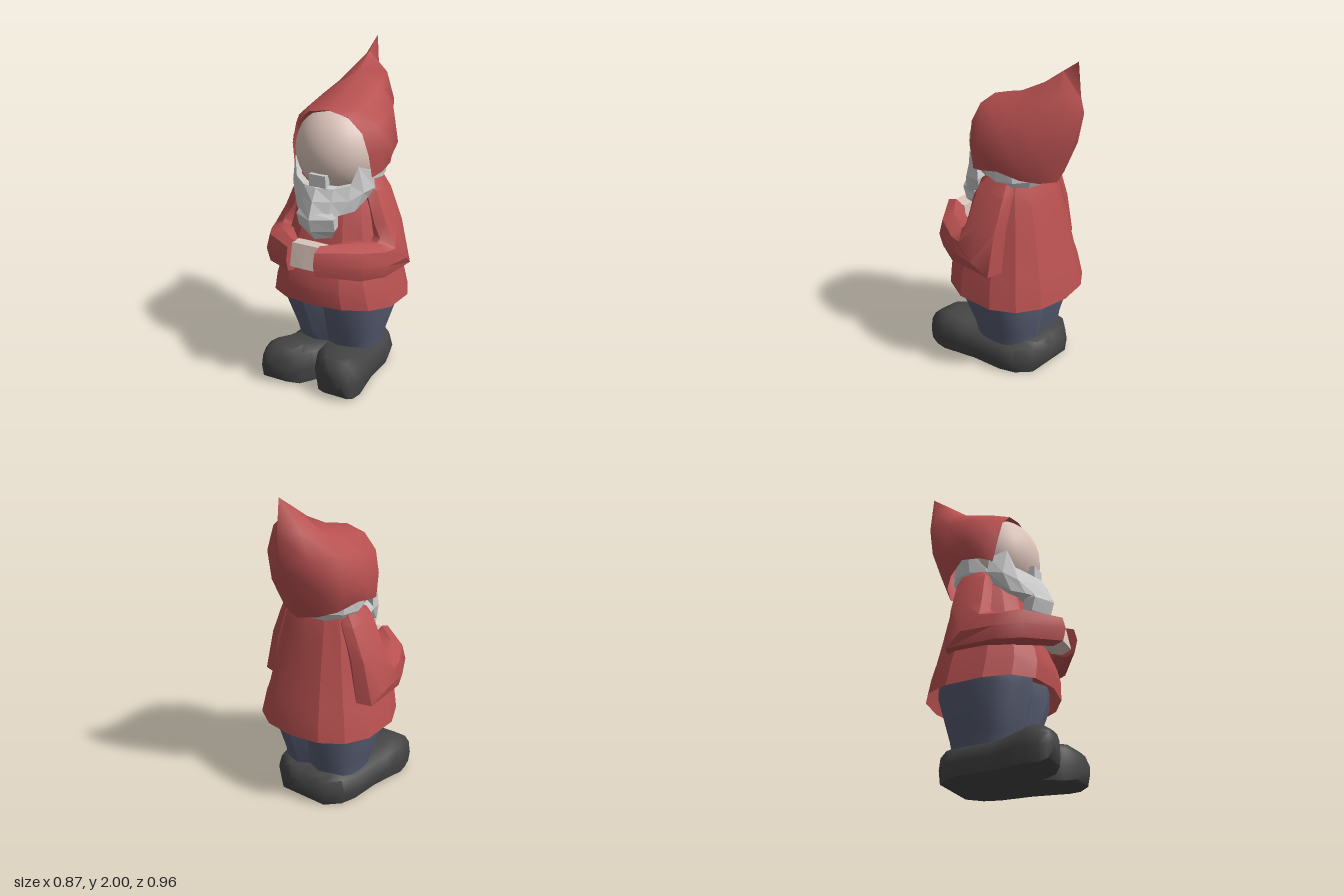
import * as THREE from 'three';
import { toCreasedNormals } from 'three/addons/utils/BufferGeometryUtils.js';

const RED = 0xb85050, SKIN = 0xdcc5bb, GREY = 0xcccccc, BLUE = 0x555b70, BLACK = 0x444444;

// Skin a list of equal-length cross-sections; faces are turned outward automatically
function loft(rows, { closed = true, caps = false } = {}) {
  const n = rows[0].length, pos = rows.flat(2), idx = [];
  const cols = closed ? n : n - 1;
  for (let i = 0; i < rows.length - 1; i++) {
    for (let j = 0; j < cols; j++) {
      const a = i * n + j, b = i * n + (j + 1) % n;
      idx.push(a, b, b + n, a, b + n, a + n);
    }
  }
  if (caps) {
    const last = (rows.length - 1) * n;
    for (let j = 1; j < n - 1; j++) idx.push(0, j + 1, j, last, last + j, last + j + 1);
  }
  const point = (k) => new THREE.Vector3().fromArray(pos, k * 3);
  const centre = new THREE.Vector3();
  for (let k = 0; k < pos.length / 3; k++) centre.addScaledVector(point(k), 3 / pos.length);
  let volume = 0;
  for (let k = 0; k < idx.length; k += 3) {
    const [a, b, c] = [0, 1, 2].map((m) => point(idx[k + m]).sub(centre));
    volume += a.dot(b.cross(c));
  }
  if (volume < 0) idx.reverse();
  const geo = new THREE.BufferGeometry();
  geo.setAttribute('position', new THREE.Float32BufferAttribute(pos, 3));
  geo.setIndex(idx);
  return geo;
}

// Complete a half row (centre to side) with its mirror image
const mirrorRow = (half) => [...half.slice(1).reverse().map(([x, y, z]) => [-x, y, z]), ...half];

// Powers below 1 make an oval boxier
const soften = (t, p) => Math.sign(t) * Math.abs(t) ** p;

// Closed section: centre plus two axis vectors
const section = (c, u, v, n, p) => Array.from({ length: n }, (_, i) => {
  const a = (i / n) * Math.PI * 2;
  return c.map((k, m) => k + soften(Math.cos(a), p) * u[m] + soften(Math.sin(a), p) * v[m]);
});

export function createModel() {
  const model = new THREE.Group();
  function add(name, geo, color, { crease = 0.6, side = THREE.FrontSide } = {}) {
    const mat = new THREE.MeshStandardMaterial({ color, side, flatShading: crease === 0 });
    const mesh = new THREE.Mesh(crease ? toCreasedNormals(geo, crease) : geo, mat);
    mesh.name = name;
    model.add(mesh);
    return mesh;
  }
  const open = { side: THREE.DoubleSide };

  // Coat: flared boxy rings of [y, half width, front z, back z], hem raised at the front
  const coat = [[0.495, 0.405, 0.36, -0.4], [0.64, 0.375, 0.365, -0.375], [0.72, 0.35, 0.345, -0.352],
    [0.95, 0.3, 0.25, -0.295], [1.1, 0.268, 0.21, -0.255], [1.23, 0.235, 0.12, -0.215], [1.31, 0.17, 0.04, -0.175]]
    .map(([y, rx, zf, zb], k) => Array.from({ length: 14 }, (_, i) => {
      const a = ((i + 0.5) / 14) * Math.PI * 2, c = Math.cos(a), s = Math.sin(a);
      const z = (zf + zb) / 2 + soften(s, 0.8) * (zf - zb) / 2;
      return [rx * soften(c, 0.9), y + (k === 0 && s > 0 ? 0.042 * s : 0), z];
    }));
  add('coat', loft(coat), RED, { crease: 0.35, ...open });

  // Trousers: oval with a groove at the middle to suggest two legs
  const trousers = [[0.15, 0.25, 0.17, -0.23], [0.25, 0.265, 0.2, -0.25], [0.5, 0.35, 0.28, -0.31], [0.6, 0.34, 0.28, -0.3]]
    .map(([y, rx, zf, zb]) => Array.from({ length: 24 }, (_, i) => {
      const a = (i / 24) * Math.PI * 2, c = Math.cos(a), s = Math.sin(a);
      const groove = 1 - 0.18 * Math.max(0, 1 - Math.abs(c) / 0.25);
      return [rx * soften(c, 0.85), y, (zf + zb) / 2 + soften(s, 0.65) * groove * (zf - zb) / 2];
    }));
  add('trousers', loft(trousers, { caps: true }), BLUE);

  // Shoes: flat-soled sections of [z, inner x, outer x, top y, bottom y], joined at the heel
  const shoeSections = [[0.465, 0.2, 0.27, 0.14, 0.08], [0.44, 0.12, 0.305, 0.195, 0.02], [0.39, 0.05, 0.32, 0.228, 0],
    [0.32, 0, 0.335, 0.236, 0], [0.2, -0.06, 0.315, 0.21, 0], [0.1, -0.12, 0.3, 0.195, 0], [-0.1, -0.15, 0.295, 0.195, 0],
    [-0.2, -0.15, 0.265, 0.2, 0], [-0.28, -0.12, 0.18, 0.19, 0], [-0.32, -0.06, 0.09, 0.14, 0.06]];
  for (const s of [1, -1]) {
    const rows = shoeSections.map(([z, x0, x1, top, bottom]) => {
      const h = top - bottom, w = (x1 - x0) / 2, c = (x0 + x1) / 2;
      return [[-0.88, 0], [-1, 0.4], [-0.88, 0.82], [-0.55, 0.99], [0, 1], [0.55, 0.99], [0.88, 0.82], [1, 0.4], [0.88, 0]]
        .map(([x, y]) => [s * (c + w * x), bottom + h * y, z]);
    });
    add(s > 0 ? 'leftShoe' : 'rightShoe', loft(rows, { caps: true }), BLACK, { crease: 0.9 });
  }

  // Sleeves: shoulder, bent elbow, forearm and cuff
  const sleeve = [
    [[0.15, 1.31, -0.07], [0.05, 0, 0], [0, 0, 0.06]],
    [[0.21, 1.21, -0.045], [0.075, -0.02, 0], [0, 0.02, 0.12]],
    [[0.28, 1.0, -0.035], [0.085, 0, 0], [0, 0.02, 0.13]],
    [[0.325, 0.83, -0.025], [0.112, -0.04, 0], [0.005, 0.11, 0.14]],
    [[0.325, 0.82, 0.14], [0.085, -0.02, 0.03], [0, 0.102, 0]],
    [[0.25, 0.838, 0.27], [0.075, -0.015, 0.055], [0, 0.113, 0]],
    [[0.09, 0.853, 0.4], [0, 0, 0.08], [0, 0.095, 0]]];
  for (const s of [1, -1]) {
    const rows = sleeve.map(([c, u, v]) => section(c, u, v, 8, 0.75).map(([x, y, z]) => [s * x, y, z]));
    add(s > 0 ? 'leftSleeve' : 'rightSleeve', loft(rows, { caps: true }), RED, { crease: 0.7 });
  }

  // Clasped hands between the cuffs
  const hands = [[-0.1, 1], [0, 1.06], [0.1, 1]].map(([x, k]) =>
    [[0.93, 0.32], [0.94, 0.41], [0.8, 0.44], [0.775, 0.38], [0.8, 0.31]].map(([y, z]) => [x, y, 0.38 + (z - 0.38) * k]));
  add('hands', loft(hands, { caps: true }), SKIN, { crease: 0 });

  // Face
  const face = add('face', new THREE.SphereGeometry(1, 24, 16), SKIN, { crease: 1 });
  face.scale.set(0.255, 0.27, 0.235);
  face.position.set(0, 1.42, 0.032);

  // Hair showing under the hood
  const hair = [[1.2, 0.21, 0.1, -0.22], [1.26, 0.25, 0.12, -0.25], [1.38, 0.26, 0.1, -0.24]].map(([y, rx, zf, zb]) =>
    section([0, y, (zf + zb) / 2], [rx, 0, 0], [0, 0, (zf - zb) / 2], 12, 0.9));
  add('hair', loft(hair), GREY, { crease: 0, ...open });

  // Beard wrapping the jaw, with a ridge down the middle
  const beard = [
    [[0, 1.26, 0.24], [0.1, 1.255, 0.21], [0.17, 1.27, 0.16], [0.205, 1.37, 0.13], [0.235, 1.33, 0.04]],
    [[0, 1.25, 0.29], [0.1, 1.25, 0.26], [0.18, 1.27, 0.205], [0.212, 1.38, 0.165], [0.257, 1.33, 0.07]],
    [[0, 1.18, 0.335], [0.1, 1.18, 0.285], [0.185, 1.18, 0.225], [0.24, 1.22, 0.15], [0.265, 1.23, 0.06]],
    [[0, 1.09, 0.372], [0.09, 1.09, 0.31], [0.15, 1.1, 0.255], [0.2, 1.11, 0.185], [0.23, 1.17, 0.08]],
    [[0, 1.06, 0.25], [0.08, 1.07, 0.22], [0.13, 1.1, 0.18], [0.17, 1.12, 0.12], [0.19, 1.18, 0.05]]];
  add('beard', loft(beard.map(mirrorRow), { closed: false }), GREY, { crease: 0, ...open });

  // Hanging tip of the beard
  const tip = [[1.12, 0.11, 0.355, 0.22], [1.08, 0.125, 0.375, 0.23], [1, 0.12, 0.352, 0.22], [0.94, 0.08, 0.31, 0.24]]
    .map(([y, w, zf, zb]) => mirrorRow([[0, y, zf], [w, y, zf - 0.07], [w * 0.9, y + 0.01, zb]]));
  add('beardTip', loft(tip, { caps: true }), GREY, { crease: 0 });

  // Moustache block below the face
  const moustache = add('moustache', new THREE.BoxGeometry(0.11, 0.08, 0.05), GREY, { crease: 0 });
  moustache.position.set(0, 1.285, 0.25);

  // Pointed hood: arches from the face opening back to the rear seam
  const hood = [
    [[0, 1.665, 0.11], [0.125, 1.635, 0.11], [0.21, 1.56, 0.1], [0.245, 1.43, 0.09], [0.25, 1.3, 0.06]],
    [[0, 1.68, 0.15], [0.13, 1.655, 0.148], [0.22, 1.57, 0.14], [0.255, 1.44, 0.125], [0.262, 1.3, 0.095]],
    [[0, 1.705, 0.06], [0.16, 1.675, 0.05], [0.26, 1.59, 0.04], [0.305, 1.45, 0.035], [0.29, 1.32, 0.02]],
    [[0, 1.74, -0.05], [0.16, 1.705, -0.07], [0.26, 1.615, -0.07], [0.316, 1.43, -0.06], [0.28, 1.34, -0.1]],
    [[0, 1.83, -0.22], [0.14, 1.75, -0.23], [0.225, 1.64, -0.235], [0.268, 1.43, -0.22], [0.21, 1.29, -0.21]],
    [[0, 1.925, -0.35], [0.1, 1.8, -0.39], [0.15, 1.64, -0.39], [0.17, 1.44, -0.335], [0.12, 1.26, -0.28]],
    [[0, 2, -0.455], [0, 1.79, -0.477], [0, 1.6, -0.455], [0, 1.42, -0.39], [0, 1.24, -0.32]]];
  add('hood', loft(hood.map(mirrorRow), { closed: false }), RED, { crease: 1.6, ...open });

  return model;
}
